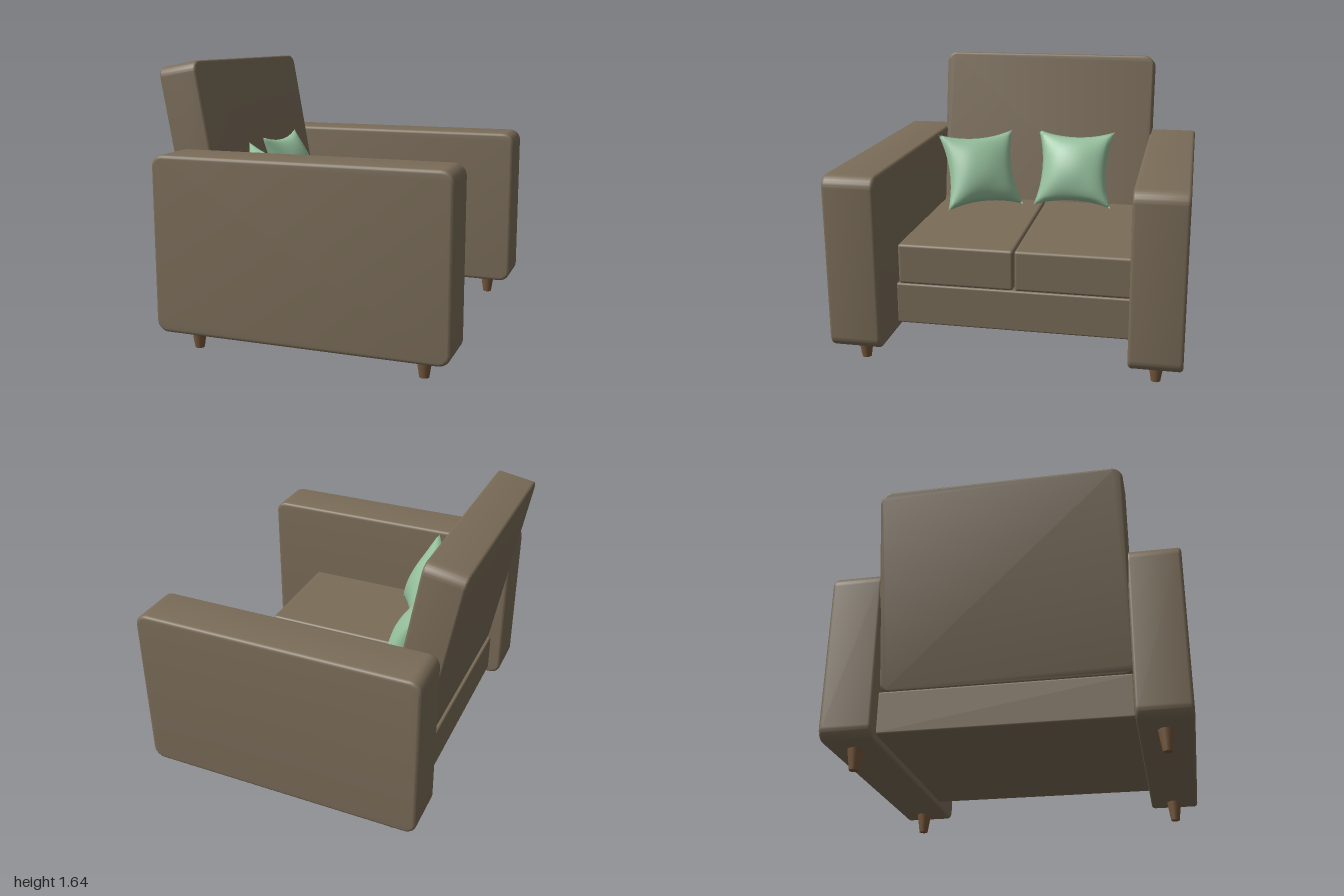
import * as THREE from 'three';
import { mergeGeometries, mergeVertices, toCreasedNormals } from 'three/addons/utils/BufferGeometryUtils.js';
import { RoundedBoxGeometry } from 'three/addons/geometries/RoundedBoxGeometry.js';

// Upholstered slab: rounded outline w x h with radius r, depth d along z, softened rim b
function slabGeometry(w, h, d, r, b) {
  const x = w / 2 - b, y = h / 2 - b, q = r - b;
  const s = new THREE.Shape();
  s.moveTo(-x + q, -y);
  s.lineTo(x - q, -y);
  s.absarc(x - q, -y + q, q, -Math.PI / 2, 0);
  s.lineTo(x, y - q);
  s.absarc(x - q, y - q, q, 0, Math.PI / 2);
  s.lineTo(-x + q, y);
  s.absarc(-x + q, y - q, q, Math.PI / 2, Math.PI);
  s.lineTo(-x, -y + q);
  s.absarc(-x + q, -y + q, q, Math.PI, Math.PI * 1.5);
  const g = new THREE.ExtrudeGeometry(s, {
    depth: d - 2 * b, bevelSize: b, bevelThickness: b, bevelSegments: 4, curveSegments: 8,
  });
  g.translate(0, 0, -(d - 2 * b) / 2);
  return toCreasedNormals(g, 0.6);
}

// Throw pillow facing +x: two puffed sheets with drawn-in edges and pointed corners
function pillowGeometry(half, puff, inset) {
  const sheets = [1, -1].map((side) => {
    const g = new THREE.PlaneGeometry(2, 2, 28, 28);
    g.rotateY(side * Math.PI / 2);
    const p = g.attributes.position;
    for (let i = 0; i < p.count; i++) {
      const v = p.getY(i), u = p.getZ(i);
      const fu = 1 - u * u, fv = 1 - v * v;
      const wrinkle = 1 + 0.07 * Math.sin(5 * u + 2 * v) * (u * u + v * v);
      p.setXYZ(i,
        side * puff * Math.pow(Math.max(fu * fv, 0), 0.55) * wrinkle,
        v * half * (1 - inset * fu),
        u * half * (1 - inset * fv));
    }
    g.deleteAttribute('uv');
    g.deleteAttribute('normal');
    return g;
  });
  const g = mergeVertices(mergeGeometries(sheets), 1e-4);
  g.computeVertexNormals();
  return g;
}

export function createModel() {
  const group = new THREE.Group();
  const fabric = new THREE.MeshStandardMaterial({ color: 0x7a6c58 });
  const wood = new THREE.MeshStandardMaterial({ color: 0x75573b });
  const green = new THREE.MeshStandardMaterial({ color: 0x95bf9c });

  const add = (name, geometry, material, x, y, z) => {
    const m = new THREE.Mesh(geometry, material);
    m.name = name;
    m.position.set(x, y, z);
    group.add(m);
    return m;
  };

  // Arms, seat cushions and legs, mirrored across z
  const armGeo = slabGeometry(1.71, 1.015, 0.3, 0.07, 0.02);
  const cushionGeo = new RoundedBoxGeometry(1.2, 0.245, 0.694, 4, 0.018);
  const legGeo = new THREE.CylinderGeometry(0.046, 0.027, 0.125, 24);
  for (const s of [1, -1]) {
    const label = s > 0 ? 'Left' : 'Right';
    add('arm' + label, armGeo, fabric, 0.055, 0.6275, s * 0.85);
    add('seatCushion' + label, cushionGeo, fabric, -0.015, 0.5325, s * 0.35 - 0.008);
    add('frontLeg' + label, legGeo, wood, 0.735, 0.0625, s * 0.85);
    add('backLeg' + label, legGeo, wood, -0.61, 0.0625, s * 0.85);
  }

  // Seat base between the arms
  add('seatBase', new RoundedBoxGeometry(1.305, 0.25, 1.41, 3, 0.012), fabric, -0.0675, 0.285, 0);

  // Reclined backrest
  const backGeo = slabGeometry(1.42, 1.21, 0.24, 0.065, 0.015);
  backGeo.rotateY(Math.PI / 2);
  add('backrest', backGeo, fabric, -0.69, 1.026, 0).rotation.z = 0.178;

  // Throw pillows leaning on the backrest
  const pillowGeo = pillowGeometry(0.26, 0.11, 0.17);
  add('pillowRight', pillowGeo, green, -0.465, 0.9, -0.21).rotation.set(0, 0, 0.42, 'YZX');
  add('pillowLeft', pillowGeo, green, -0.344, 0.895, 0.406).rotation.set(0, 0.52, 0.46, 'YZX');

  return group;
}
